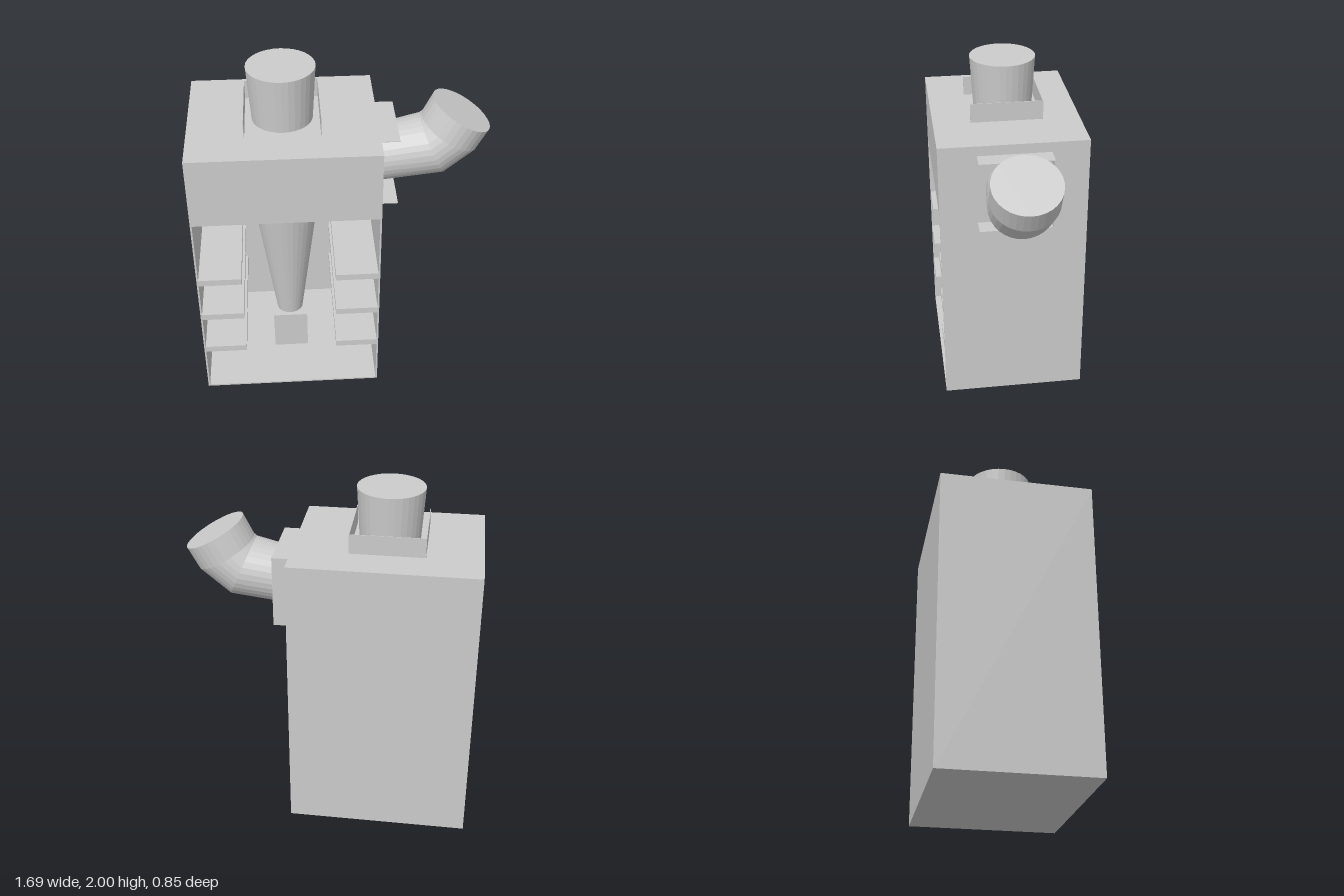
import * as THREE from 'three';

const CX = -0.325; // cabinet centre line
const CZ = -0.005;
const SIDES = 32;

export function createModel() {
  const group = new THREE.Group();
  const mat = new THREE.MeshStandardMaterial({ color: 0xcccccc, side: THREE.DoubleSide });
  const facetMat = new THREE.MeshStandardMaterial({ color: 0xcccccc, flatShading: true, side: THREE.DoubleSide });

  const add = (name, geometry, material = mat) => {
    const mesh = new THREE.Mesh(geometry, material);
    mesh.name = name;
    group.add(mesh);
    return mesh;
  };
  // Box given by its minimum and maximum along each axis
  const box = (name, x0, x1, y0, y1, z0, z1) =>
    add(name, new THREE.BoxGeometry(x1 - x0, y1 - y0, z1 - z0))
      .position.set((x0 + x1) / 2, (y0 + y1) / 2, (z0 + z1) / 2);
  // Upright round part between two heights
  const round = (name, rBottom, rTop, y0, y1) =>
    add(name, new THREE.CylinderGeometry(rTop, rBottom, y1 - y0, SIDES), facetMat)
      .position.set(CX, (y0 + y1) / 2, CZ);

  // Sheet cabinet, open at the lower front
  const L = -0.85, R = 0.2, H = 1.68, B = -0.43, F = 0.42, T = 0.01;
  box('cabinetFloor', L, R, 0, T, B, F);
  box('cabinetRoof', L, R, H - T, H, B, F);
  box('cabinetBack', L, R, T, H - T, B, B + T);
  box('cabinetRightWall', L, L + T, T, H - T, B + T, F);
  box('cabinetLeftWall', R - T, R, T, H - T, B + T, F);
  box('upperFrontPanel', L + T, R - T, 1.26, H - T, F - T, F);

  // Three shelves along each side wall
  for (const y of [0.297, 0.56, 0.825]) {
    box('rightShelf', L + T, -0.595, y, y + 0.04, B + T, F - 0.002);
    box('leftShelf', -0.055, R - T, y, y + 0.04, B + T, F - 0.002);
  }

  // Funnel, its upper drum and the collecting box
  box('collectingBox', CX - 0.105, CX + 0.105, T, 0.27, CZ - 0.105, CZ + 0.105);
  round('funnel', 0.08, 0.21, 0.27, 1.26);
  round('funnelDrum', 0.21, 0.21, 1.26, 1.6);

  // Roof outlet inside a three-sided collar
  round('roofOutlet', 0.165, 0.19, 1.6, 2);
  const P = 0.004;
  box('roofCollarBack', -0.537, -0.115, H, 1.793, -0.215, -0.215 + P);
  box('roofCollarRight', -0.537, -0.537 + P, H, 1.793, -0.215, 0.205);
  box('roofCollarLeft', -0.115 - P, -0.115, H, 1.793, -0.215, 0.205);

  // Three-sided collar on the left wall
  box('sideCollarBack', 0.208, 0.313, 1.203, 1.625, -0.215, -0.215 + P);
  box('sideCollarTop', 0.208, 0.313, 1.625 - P, 1.625, -0.215, 0.205);
  box('sideCollarBottom', 0.208, 0.313, 1.203, 1.203 + P, -0.215, 0.205);

  // Bent inlet pipe: rings given by lower point, upper point and half width
  const rings = [
    [0.19, 1.255, 0.19, 1.58, 0.16],
    [0.59, 1.31, 0.445, 1.64, 0.19],
    [0.775, 1.465, 0.455, 1.65, 0.19],
    [0.842, 1.59, 0.515, 1.77, 0.19],
  ];
  const pos = [], index = [];
  rings.forEach(([xa, ya, xb, yb, w], r) => {
    for (let i = 0; i < SIDES; i++) {
      const a = (i / SIDES) * Math.PI * 2;
      const t = (1 - Math.cos(a)) / 2;
      pos.push(xa + (xb - xa) * t, ya + (yb - ya) * t, CZ + w * Math.sin(a));
      if (r === 0) continue;
      const j = (i + 1) % SIDES;
      const p = (r - 1) * SIDES, q = r * SIDES;
      index.push(p + i, q + i, q + j, p + i, q + j, p + j);
    }
  });
  // Closed outer end
  const last = (rings.length - 1) * SIDES;
  for (let i = 1; i < SIDES - 1; i++) index.push(last, last + i, last + i + 1);
  const pipe = new THREE.BufferGeometry();
  pipe.setAttribute('position', new THREE.Float32BufferAttribute(pos, 3));
  pipe.setIndex(index);
  pipe.computeVertexNormals();
  add('inletPipe', pipe, facetMat);

  return group;
}
